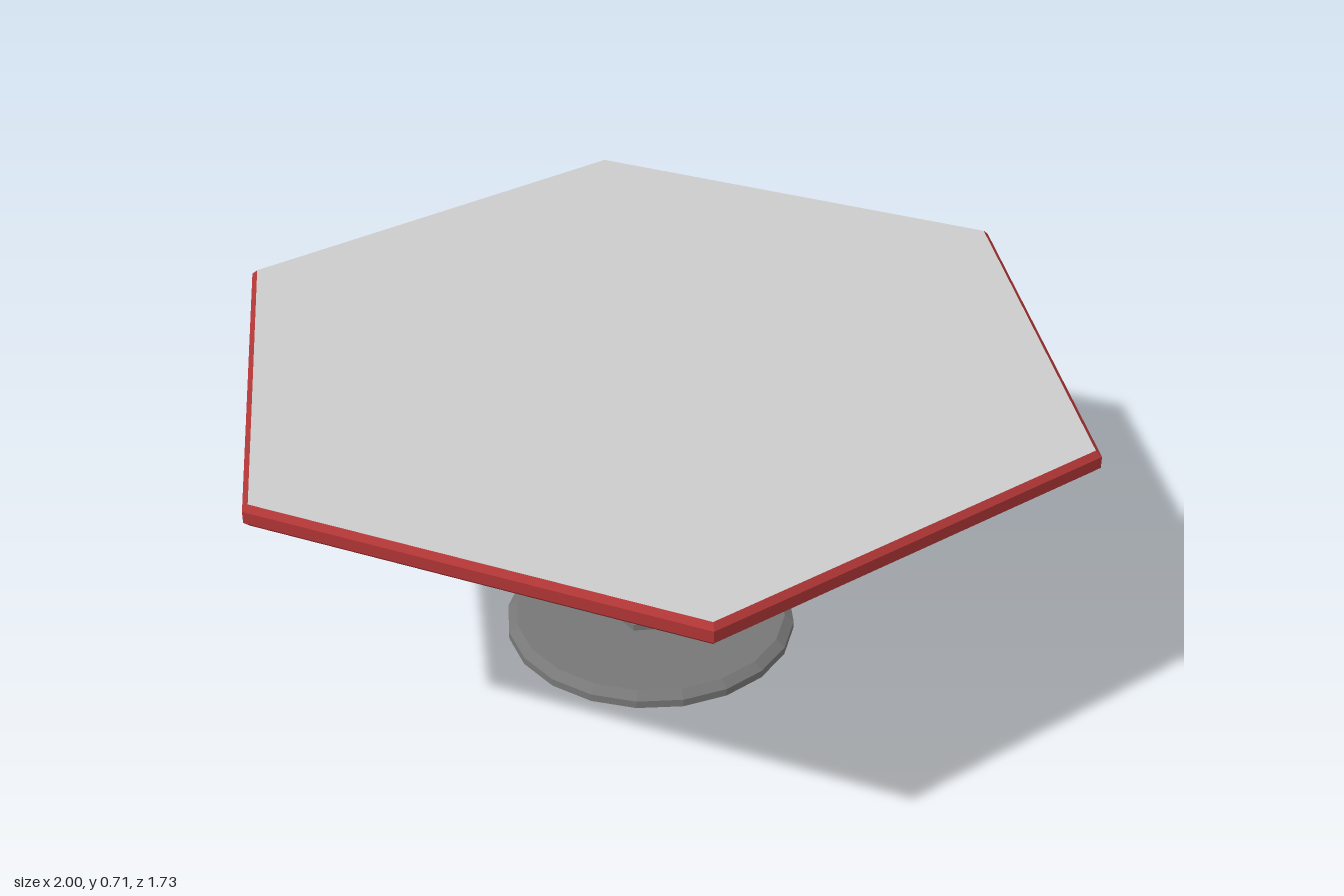
import * as THREE from 'three';

const red = new THREE.MeshStandardMaterial({ color: 0xb03535, flatShading: true });
const grey = new THREE.MeshStandardMaterial({ color: 0xcccccc, flatShading: true });
const iron = new THREE.MeshStandardMaterial({ color: 0x777777, flatShading: true });
const darkIron = new THREE.MeshStandardMaterial({ color: 0x555555, flatShading: true });

// Faceted solid of revolution; profile runs from bottom to top as [radius, y]
function turned(name, profile, sides, material, startAngle = 0) {
  const points = profile.map(([r, y]) => new THREE.Vector2(r, y));
  const mesh = new THREE.Mesh(new THREE.LatheGeometry(points, sides, startAngle), material);
  mesh.name = name;
  return mesh;
}

export function createModel() {
  const table = new THREE.Group();
  table.name = 'hexagonalTable';

  // Round foot with a bevelled upper edge
  table.add(turned('footPlate',
    [[0, 0], [0.333, 0], [0.333, 0.018], [0.312, 0.034], [0, 0.034]], 20, iron));

  // Six-sided collar and column, with a corner toward the front
  table.add(turned('collar',
    [[0.097, 0.034], [0.097, 0.05], [0.078, 0.067], [0, 0.067]], 6, iron));
  table.add(turned('column', [[0.058, 0.06], [0.058, 0.665]], 6, darkIron));

  // Six-sided top, with a corner toward each side: bevelled rim and inlaid surface
  table.add(turned('tabletopRim',
    [[0, 0.66], [0.986, 0.66], [1, 0.672], [1, 0.698], [0.986, 0.71]], 6, red, Math.PI / 2));
  table.add(turned('tabletopSurface', [[0.986, 0.71], [0, 0.71]], 6, grey, Math.PI / 2));

  return table;
}
